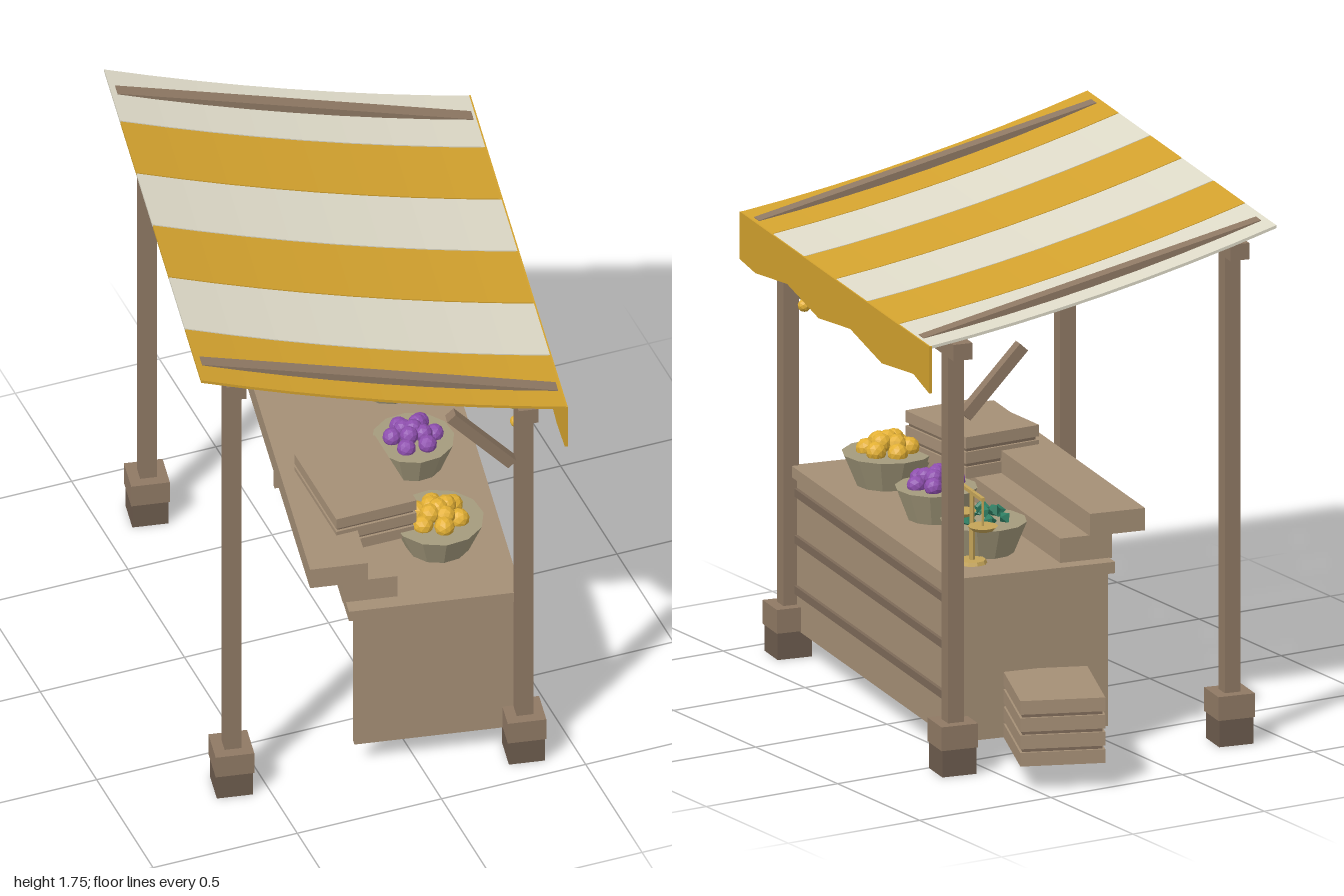
import * as THREE from 'three';

const mat = (color) => new THREE.MeshStandardMaterial({ color, flatShading: true });
const WOOD = mat(0x8f7964), DARK = mat(0x6d5c4e), PLANK = mat(0xa58f76), TRIM = mat(0x7d6a58);
const GOLD = mat(0xd3a22e), CREAM = mat(0xdedac8), WICKER = mat(0xa59b7d), BRASS = mat(0xc4a458);
const ORANGE = mat(0xe3b034), PURPLE = mat(0x8e4fae), GREEN = mat(0x2f7d62);

function add(parent, name, geometry, material, x = 0, y = 0, z = 0) {
  const m = new THREE.Mesh(geometry, material);
  m.name = name;
  m.position.set(x, y, z);
  parent.add(m);
  return m;
}

// Box given by its extents on each axis
function block(parent, name, material, [x0, x1], [y0, y1], [z0, z1]) {
  return add(parent, name, new THREE.BoxGeometry(x1 - x0, y1 - y0, z1 - z0), material,
    (x0 + x1) / 2, (y0 + y1) / 2, (z0 + z1) / 2);
}

const around = (c, size) => [c - size / 2, c + size / 2];

function subgroup(parent, name, x = 0, y = 0, z = 0) {
  const g = new THREE.Group();
  g.name = name;
  g.position.set(x, y, z);
  parent.add(g);
  return g;
}

// Straight square bar between two points in the x-y plane
function bar(parent, name, material, x0, y0, x1, y1, z, size) {
  const m = add(parent, name, new THREE.BoxGeometry(Math.hypot(x1 - x0, y1 - y0), size, size), material,
    (x0 + x1) / 2, (y0 + y1) / 2, z);
  m.rotation.z = Math.atan2(y1 - y0, x1 - x0);
  return m;
}

const PX = 0.48, PZ = 0.73;          // post positions
const HX = 0.6, HZ = 0.84;           // awning half sizes
const roofY = (x) => 1.61 - (x / HX) * 0.14;

function frame(stall) {
  for (const sx of [-1, 1]) {
    const beamY = sx < 0 ? 1.64 : 1.405;
    for (const sz of [-1, 1]) {
      const x = sx * PX, z = sz * PZ;
      block(stall, 'footBase', DARK, around(x, 0.118), [0, 0.09], around(z, 0.118));
      block(stall, 'footBlock', WOOD, around(x, 0.127), [0.09, 0.17], around(z, 0.127));
      block(stall, 'post', WOOD, around(x, 0.055), [0.17, beamY + 0.01], around(z, 0.055));
    }
    block(stall, 'longBeam', WOOD, around(sx * PX, 0.066), [beamY, beamY + 0.055], [-0.82, 0.82]);
  }
  for (const z of [-PZ, PZ]) {
    bar(stall, 'rafter', WOOD, -0.585, roofY(-0.585) - 0.022, 0.585, roofY(0.585) - 0.022, z, 0.045);
    bar(stall, 'brace', WOOD, 0.44, 1.19, 0.24, 1.405, z, 0.038);
  }
}

function awning(stall) {
  const g = subgroup(stall, 'awning');
  // Sagging cloth profile, extruded into six stripes
  const top = [], under = [];
  for (let i = 0; i <= 8; i++) {
    const t = i / 8, x = -HX + 2 * HX * t;
    const y = roofY(x) - 0.025 * 4 * t * (1 - t);
    top.push(new THREE.Vector2(x, y));
    under.unshift(new THREE.Vector2(x, y - 0.01));
  }
  const stripe = new THREE.ExtrudeGeometry(new THREE.Shape([...top, ...under]), { depth: 0.275, bevelEnabled: false });
  for (let i = 0; i < 6; i++) {
    add(g, 'stripe', stripe, i % 2 ? GOLD : CREAM, 0, 0, -HZ + i * 0.28 + 0.0025);
  }
  // Front valance with a wavy hem
  const hem = [[-HZ, 1.47], [HZ, 1.47], [HZ, 1.31]];
  for (let i = 5; i >= 0; i--) hem.push([-0.7 + i * 0.28, i % 2 ? 1.3 : 1.34]);
  hem.push([-HZ, 1.312]);
  const shape = new THREE.Shape(hem.map(([a, b]) => new THREE.Vector2(a, b)));
  const valance = add(g, 'valance', new THREE.ExtrudeGeometry(shape, { depth: 0.01, bevelEnabled: false }), GOLD, 0.605);
  valance.rotation.y = -Math.PI / 2;
}

function counter(stall) {
  const g = subgroup(stall, 'counter');
  block(g, 'counterTop', PLANK, [-0.09, 0.478], [0.6, 0.638], [-0.712, 0.712]);
  block(g, 'frontPanel', PLANK, [0.435, 0.46], [0.085, 0.6], [-0.7, 0.7]);
  for (const s of [-1, 1]) block(g, 'sidePanel', PLANK, [-0.07, 0.44], [0.085, 0.6], around(s * 0.69, 0.02));
  for (const y of [0.55, 0.393, 0.223]) block(g, 'frontSlat', TRIM, [0.455, 0.472], around(y, 0.027), [-0.695, 0.695]);
  block(g, 'lowerStep', PLANK, [-0.1, 0.08], [0.636, 0.72], [-0.66, 0.66]);
  block(g, 'upperStep', PLANK, [-0.21, -0.02], [0.72, 0.795], [-0.67, 0.67]);
}

function crate(stall, x, y, z, turn, layers, height) {
  const g = subgroup(stall, 'crate', x, y, z);
  g.rotation.y = turn;
  block(g, 'crateBody', TRIM, around(0, 0.262), [0.002, height - 0.004], around(0, 0.352));
  const step = (height + 0.012) / layers;
  for (let i = 0; i < layers; i++) {
    block(g, 'crateSlat', PLANK, around(0, 0.278), [i * step, (i + 1) * step - 0.012], around(0, 0.37));
  }
}

function basket(stall, z, radius, produceGeometry, material) {
  const g = subgroup(stall, 'basket', 0.26, 0.638, z);
  add(g, 'basketBody', new THREE.CylinderGeometry(radius, radius * 0.7, 0.105, 12), WICKER, 0, 0.0525);
  // Produce heaped in rings: outer, inner, top
  [[6, 0.07, 0.115], [4, 0.035, 0.135], [1, 0, 0.145]].forEach(([n, r, y], ring) => {
    for (let i = 0; i < n; i++) {
      const a = (i / n) * Math.PI * 2 + ring * 0.6 + z;
      const m = add(g, 'produce', produceGeometry, material, Math.cos(a) * r, y + 0.006 * (i % 2), Math.sin(a) * r);
      m.rotation.set(a * 0.3, a, a * 0.5);
    }
  });
}

function scales(stall) {
  const g = subgroup(stall, 'scales', 0.344, 0.638, -0.553);
  add(g, 'scaleBase', new THREE.CylinderGeometry(0.045, 0.05, 0.012, 10), BRASS, 0, 0.006);
  add(g, 'scalePost', new THREE.CylinderGeometry(0.008, 0.01, 0.24, 6), BRASS, 0, 0.125);
  block(g, 'scaleBeam', BRASS, around(0, 0.012), [0.232, 0.244], [-0.1, 0.1]);
  for (const s of [-1, 1]) {
    add(g, 'scaleHanger', new THREE.CylinderGeometry(0.004, 0.004, 0.09, 5), BRASS, 0, 0.19, s * 0.095);
    add(g, 'scalePan', new THREE.CylinderGeometry(0.05, 0.036, 0.014, 10), BRASS, 0, 0.143, s * 0.095);
  }
}

function garland(stall) {
  const g = subgroup(stall, 'garland', 0.49, 0, 0.56);
  add(g, 'garlandCord', new THREE.CylinderGeometry(0.004, 0.004, 0.2, 5), GREEN, 0, 1.325);
  for (let i = 0; i < 7; i++) {
    add(g, 'garlandLeaf', new THREE.OctahedronGeometry(0.014), GREEN,
      Math.cos(i * 2) * 0.007, 1.25 + i * 0.027, Math.sin(i * 2) * 0.007);
  }
  add(g, 'garlandBall', new THREE.IcosahedronGeometry(0.022, 1), ORANGE, 0, 1.218);
}

export function createModel() {
  const root = new THREE.Group();
  root.name = 'marketStall';
  const stall = subgroup(root, 'stall', 0, 0, 0.058);
  stall.rotation.y = -0.185;

  frame(stall);
  awning(stall);
  counter(stall);
  basket(stall, 0.41, 0.15, new THREE.IcosahedronGeometry(0.034, 1), ORANGE);
  basket(stall, -0.02, 0.135, new THREE.IcosahedronGeometry(0.031, 1), PURPLE);
  basket(stall, -0.44, 0.142, new THREE.OctahedronGeometry(0.025), GREEN);
  scales(stall);
  garland(stall);

  // Crates on the counter and on the ground at the end
  crate(stall, 0.01, 0.72, 0.3, 0.185, 3, 0.14);
  crate(stall, 0.19, 0.085, -0.885, -0.215, 4, 0.22);
  return root;
}
